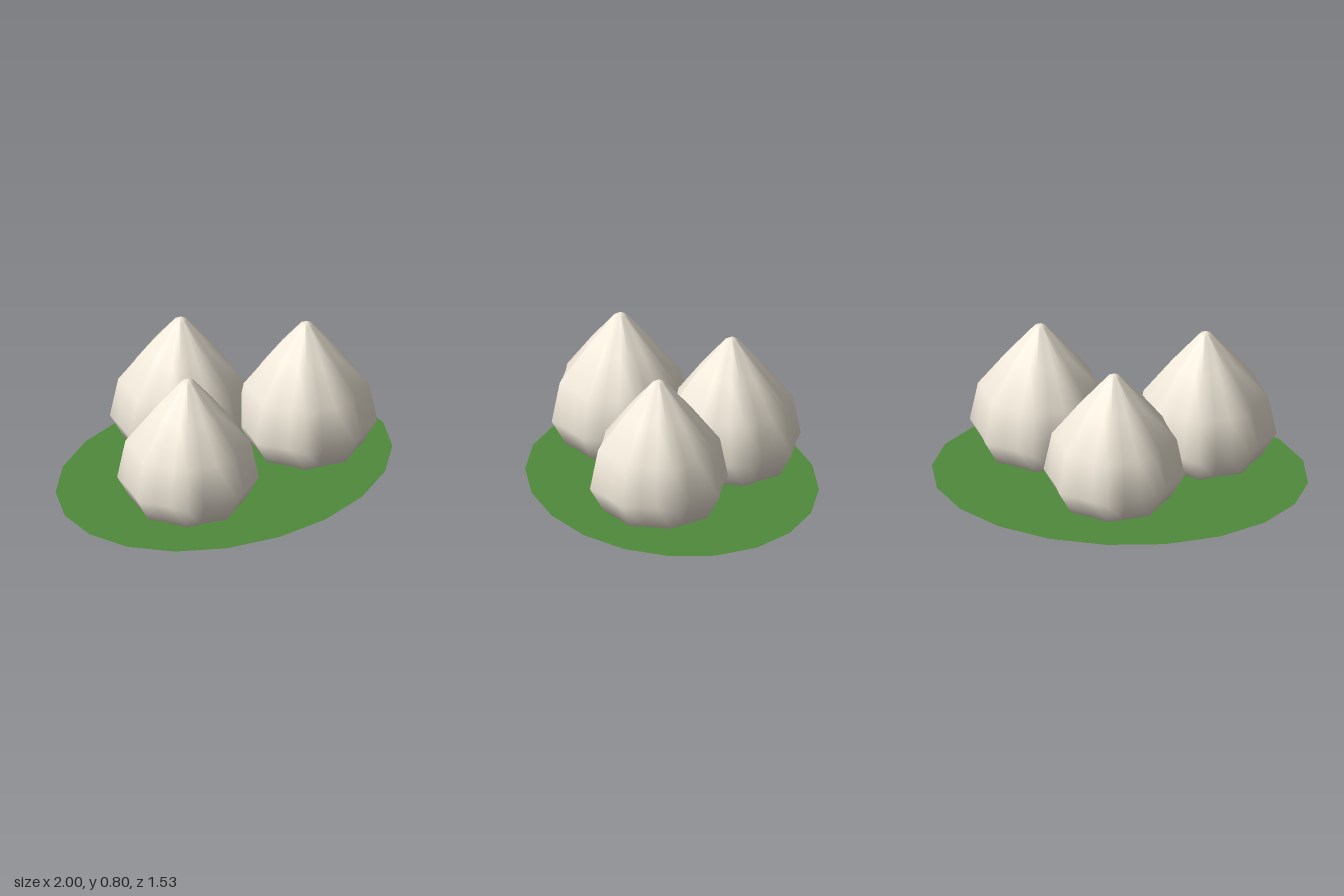
import * as THREE from 'three';
import { mergeVertices } from 'three/addons/utils/BufferGeometryUtils.js';

// Pleated bun: a lathe whose radius swells at eight pleats
function bunGeometry() {
  const profile = [
    [0, 0.02], [0.28, 0.057], [0.354, 0.195], [0.313, 0.415],
    [0.17, 0.61], [0.035, 0.775], [0, 0.795],
  ].map(([r, y]) => new THREE.Vector2(r, y));
  const geometry = new THREE.LatheGeometry(profile, 24);
  const pos = geometry.attributes.position;
  for (let i = 0; i < pos.count; i++) {
    const x = pos.getX(i), z = pos.getZ(i);
    const swell = 1 + 0.06 * Math.cos(8 * Math.atan2(x, z));
    pos.setX(i, x * swell);
    pos.setZ(i, z * swell);
  }
  // Weld the seam so the shading is smooth all round
  geometry.deleteAttribute('uv');
  geometry.deleteAttribute('normal');
  const welded = mergeVertices(geometry, 1e-4);
  welded.computeVertexNormals();
  return welded;
}

export function createModel() {
  const group = new THREE.Group();

  // Flat oval leaf underneath
  const leafGeometry = new THREE.CircleGeometry(1, 20);
  leafGeometry.scale(1, 0.763, 1);
  leafGeometry.rotateX(-Math.PI / 2);
  const leaf = new THREE.Mesh(
    leafGeometry,
    new THREE.MeshStandardMaterial({ color: 0x4f8a3c, side: THREE.DoubleSide })
  );
  leaf.name = 'leaf';
  group.add(leaf);

  // Three buns in a triangle
  const geometry = bunGeometry();
  const material = new THREE.MeshStandardMaterial({ color: 0xf2eadb });
  const places = { bunRight: [-0.44, 0.175], bunLeft: [0.44, 0.175], bunBack: [0, -0.325] };
  for (const [name, [x, z]] of Object.entries(places)) {
    const bun = new THREE.Mesh(geometry, material);
    bun.name = name;
    bun.position.set(x, 0, z);
    group.add(bun);
  }
  return group;
}
